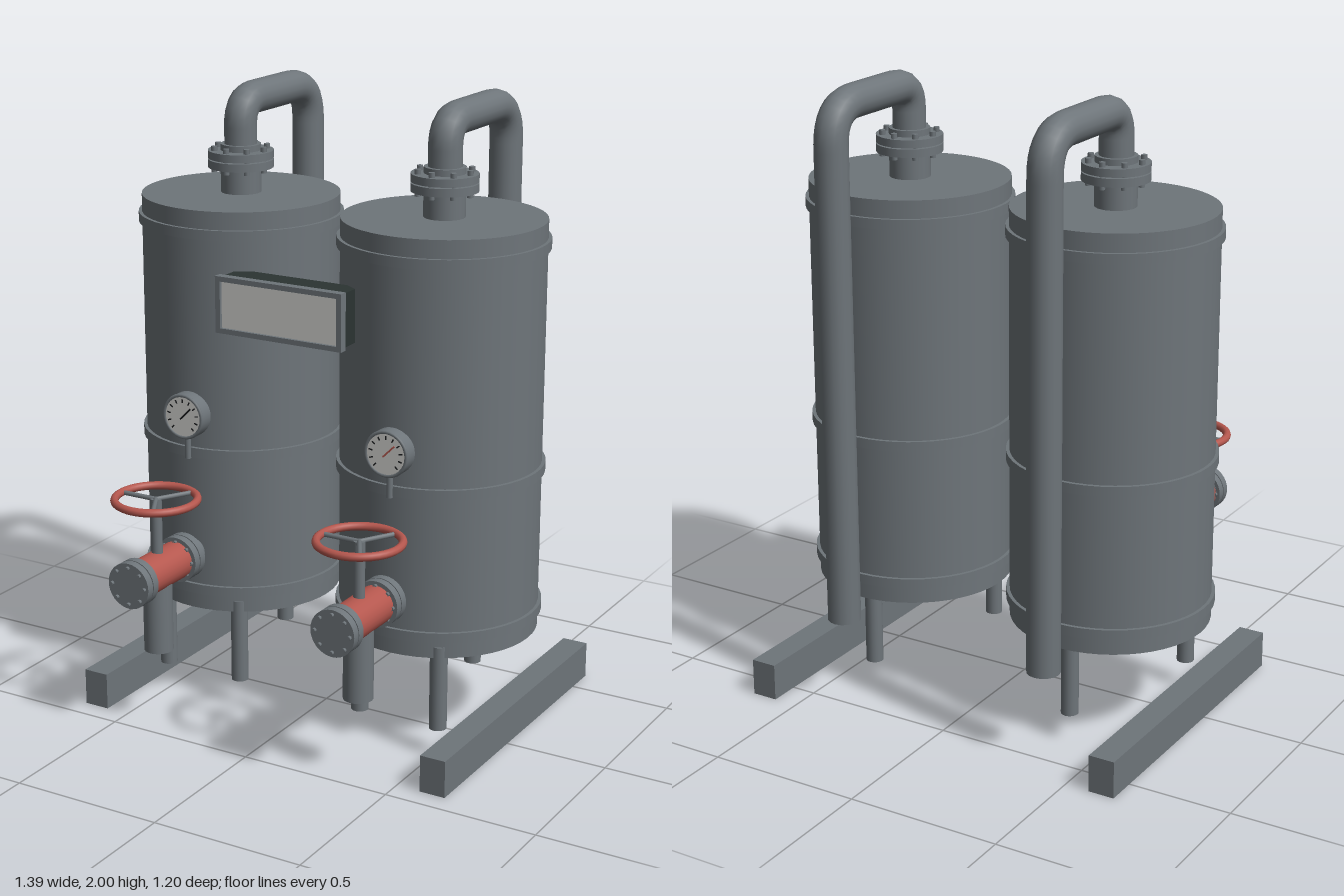
import * as THREE from 'three';

const material = (name, color) => {
  const m = new THREE.MeshStandardMaterial({ color });
  m.name = name;
  return m;
};

export function createModel() {
  const steel = material('steel grey', 0x6e757a);
  const red = material('valve red', 0xb5574e);
  const dark = material('housing dark', 0x2b3432);
  const white = material('dial white', 0xd2d2cf);
  const black = material('marking black', 0x1c1e20);

  const add = (parent, name, geometry, mat, x = 0, y = 0, z = 0) => {
    const mesh = new THREE.Mesh(geometry, mat);
    mesh.name = name;
    mesh.position.set(x, y, z);
    parent.add(mesh);
    return mesh;
  };
  // Upright cylinder between two heights
  const post = (parent, name, r, y0, y1, mat, x = 0, z = 0, sides = 24) =>
    add(parent, name, new THREE.CylinderGeometry(r, r, y1 - y0, sides), mat, x, (y0 + y1) / 2, z);
  // Ring of eight bolts around the local y axis
  const bolts = (parent, ring, y0, y1, r) => {
    for (let i = 0; i < 8; i++) {
      const a = (i * Math.PI) / 4;
      post(parent, 'flangeBolt', r, y0, y1, steel, ring * Math.cos(a), ring * Math.sin(a), 8);
    }
  };

  const model = new THREE.Group();
  model.name = 'twinTankFilter';
  const tankZ = -0.085;

  const makeTank = () => {
    const g = new THREE.Group();
    g.name = 'tank';
    post(g, 'tankBody', 0.318, 0.335, 1.655, steel, 0, 0, 48);
    for (const y of [0.405, 0.87, 1.582]) post(g, 'tankBand', 0.329, y - 0.016, y + 0.016, steel, 0, 0, 48);
    for (const [x, z] of [[-0.14, 0.26], [0.14, 0.26], [0, -0.255]]) post(g, 'leg', 0.028, 0.09, 0.37, steel, x, z, 16);
    // Top neck and bolted flange
    post(g, 'neck', 0.065, 1.64, 1.74, steel);
    post(g, 'lowerFlange', 0.105, 1.735, 1.761, steel, 0, 0, 32);
    post(g, 'upperFlange', 0.105, 1.765, 1.79, steel, 0, 0, 32);
    post(g, 'flangeCore', 0.065, 1.74, 1.81, steel);
    bolts(g, 0.086, 1.722, 1.805, 0.01);
    return g;
  };

  // Outlet pipe: up, over the tank and down the back
  const makePipe = () => {
    const g = new THREE.Group();
    g.name = 'outletPipe';
    const top = 1.947, back = -0.502, r = 0.053;
    const v = (y, z) => new THREE.Vector3(0, y, z);
    const path = new THREE.CurvePath();
    path.add(new THREE.LineCurve3(v(1.8, tankZ), v(top - 0.08, tankZ)));
    path.add(new THREE.QuadraticBezierCurve3(v(top - 0.08, tankZ), v(top, tankZ), v(top, tankZ - 0.08)));
    path.add(new THREE.LineCurve3(v(top, tankZ - 0.08), v(top, back + 0.12)));
    path.add(new THREE.QuadraticBezierCurve3(v(top, back + 0.12), v(top, back), v(top - 0.12, back)));
    path.add(new THREE.LineCurve3(v(top - 0.12, back), v(0.3, back)));
    add(g, 'pipe', new THREE.TubeGeometry(path, 100, r, 16), steel);
    add(g, 'pipeEnd', new THREE.CircleGeometry(r, 16).rotateX(Math.PI / 2), steel, 0, 0.3, back);
    return g;
  };

  const makeValve = () => {
    const g = new THREE.Group();
    g.name = 'valve';
    // Horizontal body, modelled along y and tipped to face forward
    const body = new THREE.Group();
    body.name = 'valveBody';
    body.rotation.x = Math.PI / 2;
    body.position.y = 0.53;
    post(body, 'inletStub', 0.046, 0.2, 0.28, steel);
    post(body, 'valveBarrel', 0.062, 0.32, 0.54, red);
    for (const z of [0.3, 0.562]) {
      post(body, 'innerFlange', 0.075, z - 0.028, z - 0.002, steel, 0, 0, 32);
      post(body, 'outerFlange', 0.075, z + 0.002, z + 0.028, steel, 0, 0, 32);
      post(body, 'flangeCore', 0.063, z - 0.03, z + 0.028, steel);
      bolts(body, 0.06, z - 0.037, z + 0.038, 0.007);
    }
    g.add(body);
    post(g, 'drainPipe', 0.047, 0.262, 0.5, steel, 0, 0.433);
    post(g, 'valveStem', 0.018, 0.57, 0.77, steel, 0, 0.43, 16);
    // Handwheel with three spokes
    const wheel = new THREE.Group();
    wheel.name = 'handwheel';
    wheel.position.set(0, 0.768, 0.43);
    add(wheel, 'wheelRim', new THREE.TorusGeometry(0.13, 0.013, 10, 40).rotateX(Math.PI / 2), red);
    for (let i = 0; i < 3; i++) {
      const spoke = new THREE.CylinderGeometry(0.008, 0.008, 0.13, 8).rotateZ(Math.PI / 2).translate(-0.065, 0, 0);
      add(wheel, 'wheelSpoke', spoke, steel).rotation.y = (i * Math.PI * 2) / 3;
    }
    g.add(wheel);
    return g;
  };

  const makeGauge = (needleMat) => {
    const g = new THREE.Group();
    g.name = 'pressureGauge';
    g.position.set(0, 0.995, 0);
    add(g, 'gaugeCase', new THREE.CylinderGeometry(0.074, 0.074, 0.045, 32).rotateX(Math.PI / 2), steel, 0, 0, 0.2475);
    add(g, 'gaugeRim', new THREE.TorusGeometry(0.069, 0.006, 8, 32), steel, 0, 0, 0.27);
    add(g, 'gaugeDial', new THREE.CylinderGeometry(0.066, 0.066, 0.004, 32).rotateX(Math.PI / 2), white, 0, 0, 0.271);
    for (let i = 0; i < 11; i++) {
      const tick = new THREE.BoxGeometry(0.012, 0.004, 0.002).translate(0.052, 0, 0);
      add(g, 'gaugeTick', tick, black, 0, 0, 0.274).rotation.z = (-45 + i * 27) * Math.PI / 180;
    }
    const needle = new THREE.BoxGeometry(0.055, 0.005, 0.002).translate(0.015, 0, 0);
    add(g, 'gaugeNeedle', needle, needleMat, 0, 0, 0.275).rotation.z = Math.PI / 4;
    post(g, 'gaugeStem', 0.01, -0.145, -0.065, steel, 0, 0.246, 12);
    return g;
  };

  for (const side of [-1, 1]) {
    const unit = new THREE.Group();
    unit.name = side > 0 ? 'leftUnit' : 'rightUnit';
    unit.position.x = side * 0.366;
    const tank = makeTank();
    tank.position.z = tankZ;
    unit.add(tank, makePipe(), makeValve(), makeGauge(side > 0 ? red : black));
    model.add(unit);
    // Base rail
    add(model, 'baseRail', new THREE.BoxGeometry(0.085, 0.12, 1.03), steel, side * 0.622, 0.06, -0.085);
  }

  // Sign panel between the tanks
  const panel = new THREE.Group();
  panel.name = 'displayPanel';
  panel.position.set(-0.002, 1.385, 0);
  add(panel, 'panelHousing', new THREE.BoxGeometry(0.43, 0.168, 0.1), dark, 0, 0, 0.215);
  const rect = (C, w, h) => new C([[-w, -h], [w, -h], [w, h], [-w, h]].map(([x, y]) => new THREE.Vector2(x, y)));
  const frame = rect(THREE.Shape, 0.223, 0.09);
  frame.holes.push(rect(THREE.Path, 0.206, 0.074));
  add(panel, 'panelFrame', new THREE.ExtrudeGeometry(frame, { depth: 0.028, bevelEnabled: false }), steel, 0, 0, 0.263);
  add(panel, 'panelFace', new THREE.BoxGeometry(0.414, 0.15, 0.008), white, 0, 0, 0.277);
  model.add(panel);

  return model;
}
